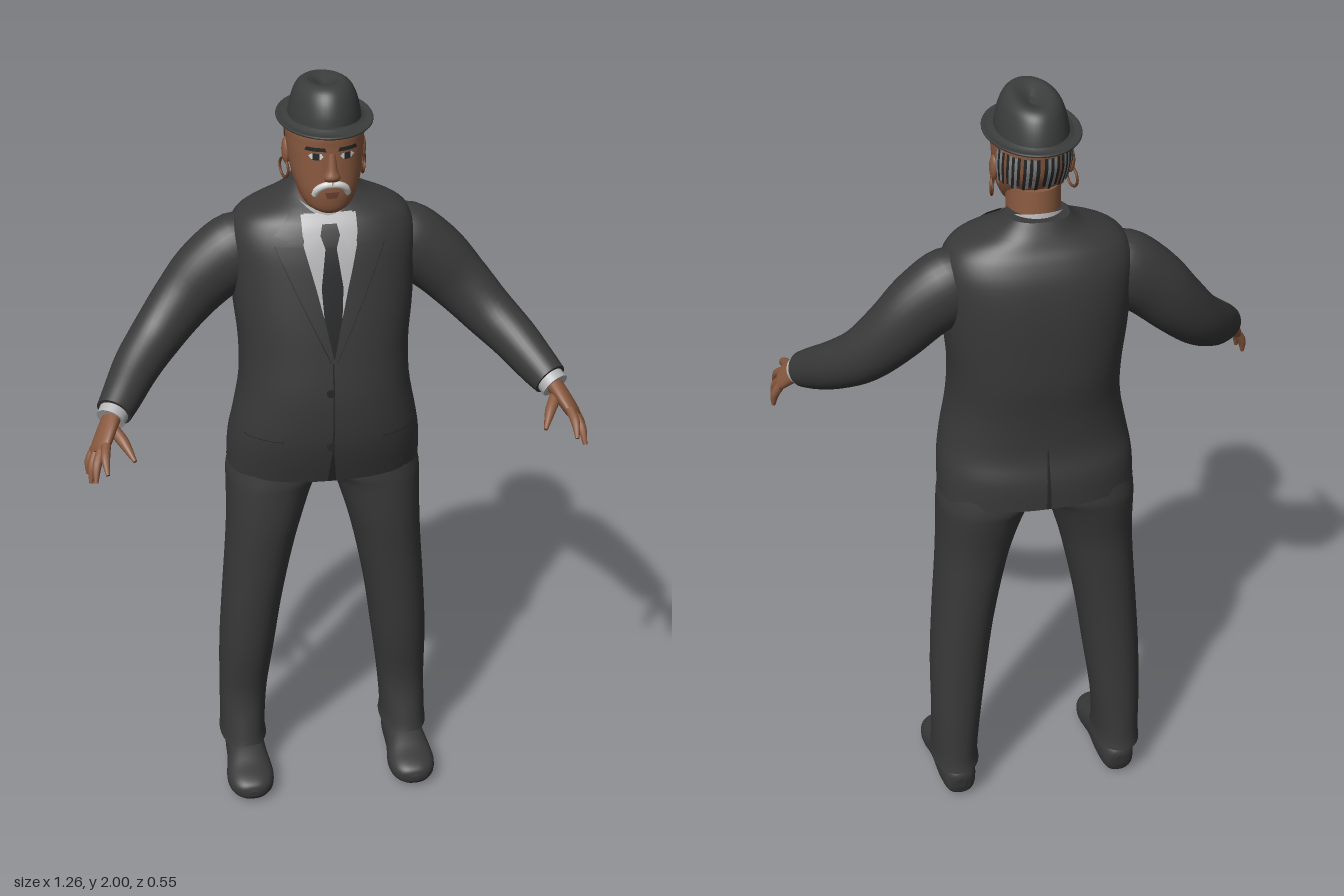
import * as THREE from 'three';

const mat = (name, color, extra = {}) => {
  const m = new THREE.MeshStandardMaterial({ color, ...extra });
  m.name = name;
  return m;
};
const D = { side: THREE.DoubleSide };

// Smooth a list of sections [x, y, z, ra, rb] with a Catmull-Rom rule.
function refine(rows, steps) {
  const out = [];
  for (let i = 0; i < rows.length - 1; i++) {
    const [a, b, c, d] = [rows[Math.max(i - 1, 0)], rows[i], rows[i + 1], rows[Math.min(i + 2, rows.length - 1)]];
    for (let k = 0; k < steps; k++) {
      const t = k / steps;
      out.push(b.map((_, j) => 0.5 * (2 * b[j] + (c[j] - a[j]) * t + (2 * a[j] - 5 * b[j] + 4 * c[j] - d[j]) * t * t
        + (3 * b[j] - a[j] - 3 * c[j] + d[j]) * t * t * t)));
    }
  }
  out.push(rows[rows.length - 1]);
  return out;
}

// Skin superellipse rings; rings lie flat, or square to the path when ref is given.
function loft(rows, { ref = null, e = 2, n = 32, steps = 4, shear = 0, arc = null, cap = true } = {}) {
  const R = refine(rows, steps), pos = [], idx = [], m = arc ? n + 1 : n;
  const P = R.map(r => new THREE.Vector3(r[0], r[1], r[2]));
  const pw = c => Math.sign(c) * Math.abs(c) ** (2 / e);
  R.forEach((r, i) => {
    const u = new THREE.Vector3(1, 0, 0), v = new THREE.Vector3(0, 0, -1);
    if (ref) {
      const t = P[Math.min(i + 1, P.length - 1)].clone().sub(P[Math.max(i - 1, 0)]).normalize();
      u.crossVectors(ref, t).normalize();
      v.crossVectors(t, u);
    }
    for (let j = 0; j < m; j++) {
      const a = arc ? arc[0] + (arc[1] - arc[0]) * j / n : j / n * Math.PI * 2;
      const p = P[i].clone().addScaledVector(u, r[3] * pw(Math.cos(a))).addScaledVector(v, r[4] * pw(Math.sin(a)));
      pos.push(p.x, p.y + shear * (p.z - r[2]), p.z);
    }
  });
  for (let i = 0; i < R.length - 1; i++) for (let j = 0; j < n; j++) {
    const a = i * m + j, b = i * m + (j + 1) % m, c = a + m, d = b + m;
    idx.push(a, b, d, a, d, c);
  }
  if (cap && !arc) [0, R.length - 1].forEach(i => {
    const base = pos.length / 3;
    for (let j = 0; j < m * 3; j++) pos.push(pos[i * m * 3 + j]);
    pos.push(P[i].x, P[i].y, P[i].z);
    for (let j = 0; j < n; j++) {
      const a = base + j, b = base + (j + 1) % n;
      i ? idx.push(a, b, base + m) : idx.push(b, a, base + m);
    }
  });
  return build(pos, idx);
}

function build(pos, idx) {
  const g = new THREE.BufferGeometry();
  g.setAttribute('position', new THREE.Float32BufferAttribute(pos, 3));
  g.setIndex(idx);
  g.computeVertexNormals();
  return g;
}

// Thin panel laid on a lofted body; keys are [y, left, right] from the top down.
function panel(body, e, keys, off, dir = 1) {
  const R = refine(body, 4), pos = [], idx = [], nx = 8;
  const surf = (x, y) => {
    let i = 0;
    while (i < R.length - 2 && R[i + 1][1] < y) i++;
    const t = THREE.MathUtils.clamp((y - R[i][1]) / (R[i + 1][1] - R[i][1]), 0, 1);
    const [, , z, rx, rz] = R[i].map((q, j) => q + (R[i + 1][j] - q) * t);
    return z + dir * (rz * Math.max(0, 1 - Math.abs(x / rx) ** e) ** (1 / e) + off);
  };
  const lines = [];
  keys.forEach((k, i) => {
    for (let s = 0; s < (i < keys.length - 1 ? 4 : 1); s++) {
      lines.push(k.map((q, j) => s ? q + (keys[i + 1][j] - q) * s / 4 : q));
    }
  });
  lines.forEach(([y, l, r], i) => {
    for (let j = 0; j <= nx; j++) {
      const x = l + (r - l) * j / nx, a = i * (nx + 1) + j, c = a + nx + 1;
      pos.push(x, y, surf(x, y));
      if (i < lines.length - 1 && j < nx) {
        dir > 0 ? idx.push(a, c, a + 1, a + 1, c, c + 1) : idx.push(a, a + 1, c, a + 1, c + 1, c);
      }
    }
  });
  return build(pos, idx);
}

export function createModel() {
  const model = new THREE.Group();
  const suit = mat('suit charcoal', 0x393939, D), hatMat = mat('hat felt', 0x3b3d3d), dark = mat('dark cloth', 0x262728, D);
  const skin = mat('skin', 0x8a5a40), shirt = mat('shirt grey', 0xb4b4b6, D), white = mat('white hair', 0xd4d4d2, D);
  const grey = mat('grey hair', 0x85888a, D), metal = mat('earring copper', 0x6e4026), lip = mat('lips', 0x6c3f33, D);
  const add = (name, g, m) => {
    const o = new THREE.Mesh(g, m);
    o.name = name;
    model.add(o);
    return o;
  };
  const V = (x, y, z) => new THREE.Vector3(x, y, z);
  const flip = (keys, s) => s > 0 ? keys : keys.map(([y, l, r]) => [y, -r, -l]);

  // Jacket body
  const torso = [[0, .955, -.102, .25, .163], [0, 1.03, -.09, .247, .175], [0, 1.1, -.075, .235, .175], [0, 1.2, -.075, .217, .18],
    [0, 1.3, -.088, .215, .182], [0, 1.4, -.098, .225, .177], [0, 1.5, -.108, .232, .167], [0, 1.58, -.112, .235, .152],
    [0, 1.63, -.112, .22, .132], [0, 1.66, -.112, .185, .113], [0, 1.69, -.122, .11, .088], [0, 1.72, -.132, .075, .063]];
  const TE = 2.4;
  add('jacket', loft(torso, { e: TE, n: 56 }), suit);
  add('frontSeam', panel(torso, TE, [[1.31, -.004, 0], [1.06, -.004, 0], [.957, -.012, .01]], .002), dark);
  add('backVent', panel(torso, TE, [[1.12, -.002, .002], [.957, -.006, .006]], .002, -1), dark);
  for (const y of [1.23, 1.08]) {
    const b = add('button', new THREE.CylinderGeometry(.01, .01, .008, 16), dark);
    b.rotation.x = Math.PI / 2;
    b.position.set(-.01, y, .107);
  }

  // Shirt front, tie and neck band
  add('shirtFront', panel(torso, TE, [[1.67, -.06, .06], [1.6, -.066, .066], [1.5, -.042, .042], [1.32, -.001, .001]], .003), shirt);
  add('tie', panel(torso, TE, [[1.65, -.018, .018], [1.625, -.024, .024], [1.595, -.014, .014], [1.5, -.027, .027],
    [1.42, -.022, .022], [1.32, -.001, .001]], .008), dark);
  add('shirtCollar', loft([[0, 1.64, -.088, .084, .096], [0, 1.69, -.088, .076, .087], [0, 1.705, -.088, .073, .084]],
    { shear: -.32, cap: false }), shirt);
  add('neck', loft([[0, 1.6, -.09, .066, .075], [0, 1.68, -.085, .066, .076], [0, 1.78, -.075, .066, .08]]), skin);

  // Head and face
  const head = [[0, 1.69, .008, .03, .034], [0, 1.705, -.003, .055, .054], [0, 1.74, -.022, .074, .08], [0, 1.78, -.041, .086, .099],
    [0, 1.82, -.055, .092, .113], [0, 1.86, -.06, .095, .118], [0, 1.9, -.062, .092, .118], [0, 1.95, -.065, .06, .08]];
  add('head', loft(head, { e: 2.2, n: 40 }), skin);
  add('nose', loft([[0, 1.778, .055, .016, .01], [0, 1.79, .058, .02, .017], [0, 1.81, .056, .013, .013], [0, 1.85, .053, .009, .007]]), skin);
  add('mouth', panel(head, 2.2, [[1.751, -.018, .018], [1.735, -.012, .012]], .003), lip);

  // Short hair in alternating streaks around the back
  const inHead = (y0, k) => [y0, (y0 + 1.9) / 2, 1.905].map(y => {
    const i = head.findIndex(r => r[1] > y) - 1, t = (y - head[i][1]) / (head[i + 1][1] - head[i][1]);
    return head[i].map((q, j) => q + (head[i + 1][j] - q) * t + (j > 2 ? k : 0));
  });
  for (let i = 0, n = 33; i < n; i++) {
    if (i % 6 === 4) continue;
    const a = .3 + (Math.PI - .6) * i / n, low = 1.775 + .018 * Math.abs(Math.sin(i * 2.3));
    add('hairStreak', loft(inHead(low, .004), { e: 2.2, n: 2, arc: [a, a + (Math.PI - .6) / n] }), i % 2 ? dark : grey);
  }

  // Hat
  add('hatBrim', loft([[0, 1.897, -.062, .08, .115], [0, 1.896, -.062, .1, .14], [0, 1.901, -.061, .116, .161], [0, 1.907, -.061, .115, .16],
    [0, 1.905, -.062, .1, .14], [0, 1.912, -.063, .085, .125]], { n: 48 }), hatMat);
  add('hatCrown', loft([[0, 1.905, -.064, .089, .129], [0, 1.93, -.064, .085, .125], [0, 1.96, -.065, .077, .115], [0, 1.983, -.067, .065, .1],
    [0, 1.994, -.069, .047, .078], [0, 1.989, -.071, .028, .052], [0, 1.978, -.073, .008, .02]], { n: 48, shear: .1 }), hatMat);

  for (const s of [1, -1]) {
    const M = rows => rows.map(([x, ...r]) => [x * s, ...r]);

    // Lapel, collar wing and pocket flap
    add('lapel', panel(torso, TE, flip([[1.68, .062, .085], [1.625, .068, .135], [1.612, .067, .1], [1.6, .066, .135], [1.5, .04, .092],
      [1.4, .017, .047], [1.31, -.001, .006]], s), .008), suit);
    add('lapelEdge', panel(torso, TE, flip([[1.6, .133, .138], [1.5, .09, .095], [1.4, .045, .05], [1.31, .005, .009]], s), .004), dark);
    add('collarWing', panel(torso, TE, flip([[1.67, .012, .068], [1.63, .024, .068], [1.57, .05, .056]], s), .0105), shirt);
    add('pocketFlap', panel(torso, TE, flip([[1.115, .13, .215], [1.09, .13, .215]], s), .006), suit);
    add('pocketSeam', panel(torso, TE, flip([[1.093, .128, .217], [1.087, .128, .217]], s), .004), dark);

    // Sleeve and cuff
    add('sleeve', loft(M([[.13, 1.575, -.115, .05, .055], [.2, 1.545, -.118, .08, .095], [.28, 1.492, -.115, .078, .09],
      [.35, 1.42, -.105, .07, .08], [.42, 1.345, -.07, .064, .07], [.48, 1.29, -.01, .058, .062], [.525, 1.245, .06, .05, .054],
      [.55, 1.222, .1, .045, .046]]), { ref: V(0, 1, 0) }), suit);
    add('shirtCuff', loft(M([[.542, 1.229, .088, .038, .038], [.56, 1.211, .116, .037, .037]]), { ref: V(0, 1, 0) }), shirt);

    // Hand
    add('palm', loft(M([[.552, 1.22, .103, .028, .022], [.572, 1.195, .14, .038, .02], [.592, 1.166, .173, .042, .017],
      [.599, 1.156, .184, .032, .011]]), { ref: V(.76 * s, .58, .04), n: 20 }), skin);
    const fingers = [[[.579, 1.184, .2], [.584, 1.168, .238], [.582, 1.14, .27]], [[.588, 1.172, .186], [.604, 1.145, .222], [.61, 1.108, .247]],
      [[.597, 1.162, .168], [.614, 1.128, .192], [.62, 1.086, .205]], [[.604, 1.153, .15], [.62, 1.122, .158], [.624, 1.09, .162]],
      [[.562, 1.2, .13], [.535, 1.178, .178], [.512, 1.148, .226]]];
    fingers.forEach(([a, b, c], i) => {
      const w = i === 4 ? .015 : .012;
      add(i === 4 ? 'thumb' : 'finger', loft(M([[...a, w, w], [...b, w - .001, w - .001], [...c, .005, .005]]),
        { ref: V(s, .3, -.2), n: 12 }), skin);
    });

    // Trouser leg and shoe
    add('trouserLeg', loft(M([[.12, 1.0, -.103, .115, .135], [.125, .94, -.103, .126, .142], [.14, .9, -.1, .114, .139], [.157, .8, -.091, .098, .128],
      [.172, .7, -.092, .088, .12], [.192, .55, -.095, .079, .11], [.207, .4, -.102, .073, .1], [.218, .25, -.115, .064, .088],
      [.223, .14, -.107, .06, .097], [.223, .1, -.105, .063, .105]]).reverse(), { e: 2.2 }), suit);
    add('shoe', loft(M([[.22, .05, -.192, .012, .02], [.22, .052, -.178, .038, .046], [.22, .056, -.12, .05, .055], [.221, .056, -.03, .054, .055],
      [.222, .043, .04, .063, .042], [.222, .037, .085, .056, .034], [.222, .033, .11, .036, .024], [.222, .032, .119, .01, .008]]),
    { ref: V(0, 1, 0), e: 2.4 }), suit);

    // Eye, brow, moustache half, ear and hoop
    add('eye', panel(head, 2.2, flip([[1.85, .026, .048], [1.843, .02, .056], [1.835, .028, .048]], s), .002), white);
    add('iris', panel(head, 2.2, flip([[1.851, .03, .046], [1.834, .03, .046]], s), .004), dark);
    add('brow', panel(head, 2.2, flip([[1.866, .018, .06], [1.856, .014, .064]], s), .004), dark);
    const hair = new THREE.CatmullRomCurve3([V(0, 1.772, .062), V(.018 * s, 1.77, .061), V(.034 * s, 1.758, .053), V(.04 * s, 1.742, .043)]);
    add('moustache', new THREE.TubeGeometry(hair, 12, .009, 8), white);
    const ear = add('ear', new THREE.SphereGeometry(1, 16, 12), skin);
    ear.scale.set(.011, .034, .021);
    ear.position.set(.093 * s, 1.815, -.07);
    ear.rotation.x = -.15;
    const hoop = add('earring', new THREE.TorusGeometry(.024, .0035, 8, 24), metal);
    hoop.rotation.y = Math.PI / 2 - .3 * s;
    hoop.position.set(.098 * s, 1.77, -.07);
  }
  return model;
}
